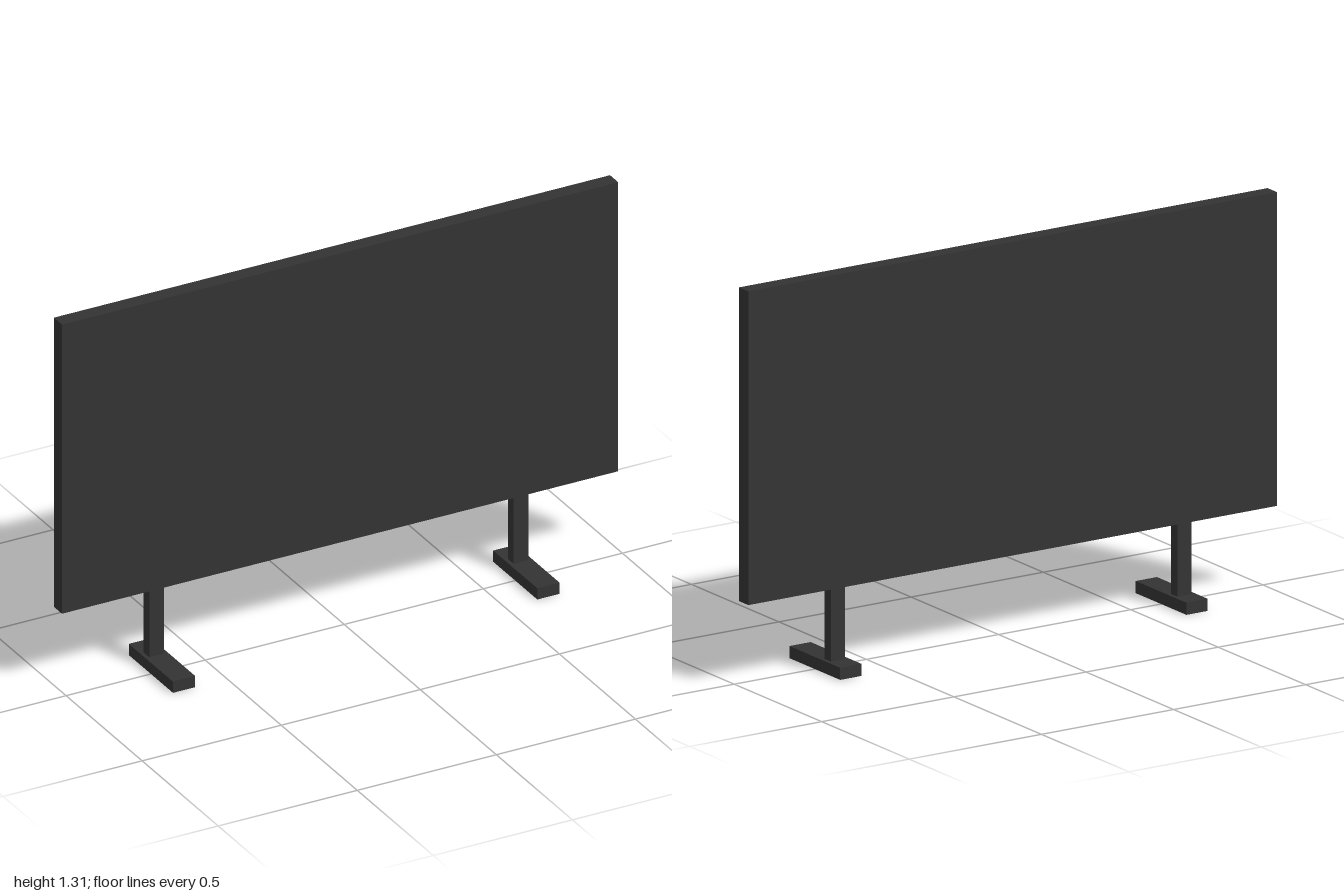
import * as THREE from 'three';

export function createModel() {
  const model = new THREE.Group();
  model.name = 'standingScreen';

  const charcoal = new THREE.MeshStandardMaterial({ color: 0x333333 });
  charcoal.name = 'charcoal';

  // Box centred on x and z, resting on the height "bottom"
  function addBox(parent, name, width, height, depth, x, bottom, z) {
    const mesh = new THREE.Mesh(new THREE.BoxGeometry(width, height, depth), charcoal);
    mesh.name = name;
    mesh.position.set(x, bottom + height / 2, z);
    parent.add(mesh);
  }

  const footHeight = 0.04;
  const panelBottom = 0.28;
  const panelZ = -0.054;

  // Wide flat panel
  addBox(model, 'panel', 2, 1.032, 0.054, 0, panelBottom, panelZ);

  // Mirrored legs: a post on a long foot that reaches further forward
  for (const side of [1, -1]) {
    const leg = new THREE.Group();
    leg.name = side > 0 ? 'leftLeg' : 'rightLeg';
    leg.position.x = side * 0.655;
    addBox(leg, 'post', 0.053, panelBottom - footHeight, 0.038, 0, footHeight, panelZ);
    addBox(leg, 'foot', 0.08, footHeight, 0.29, 0, 0, 0);
    model.add(leg);
  }

  return model;
}
